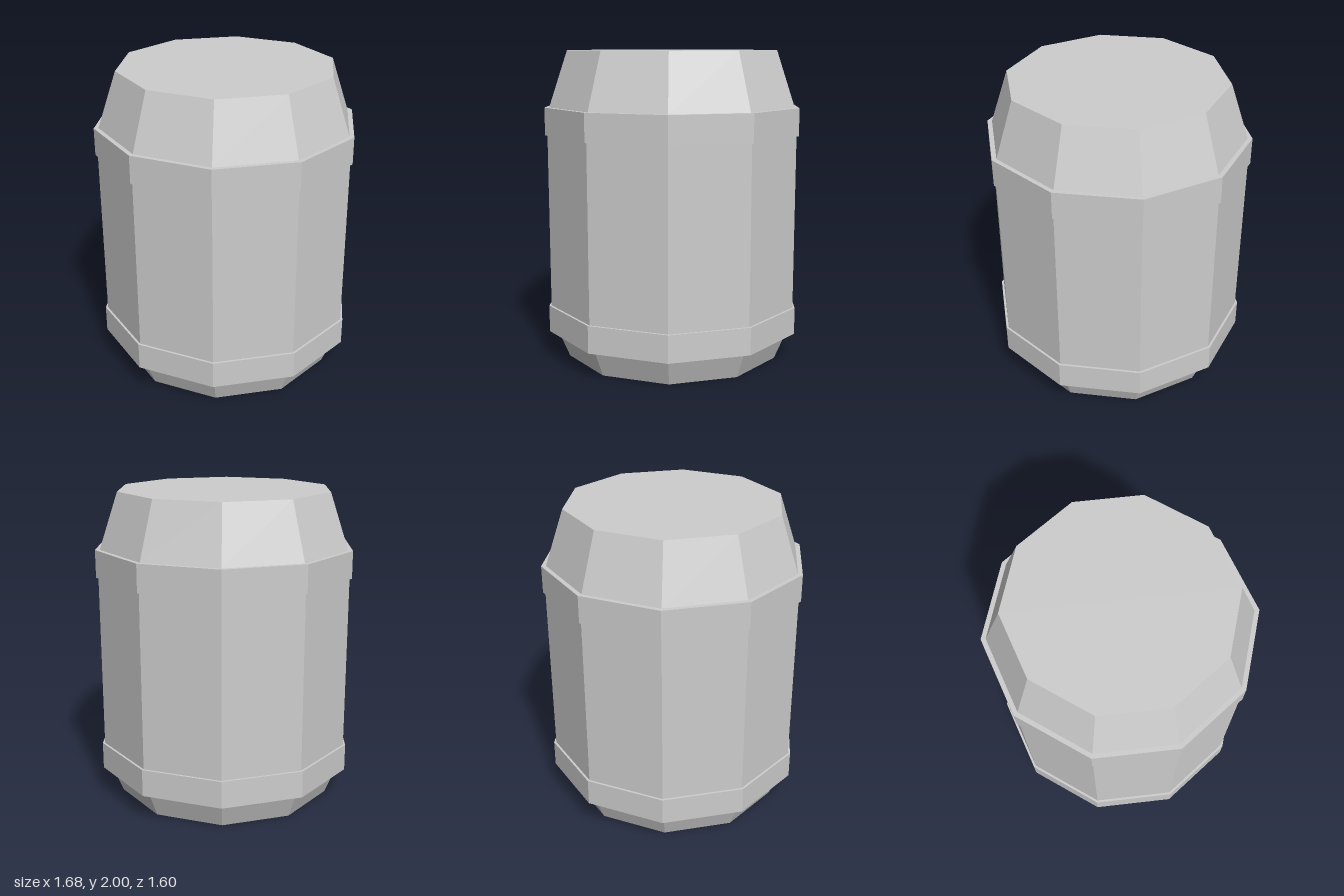
import * as THREE from 'three';

const SIDES = 10;

export function createModel() {
  const model = new THREE.Group();
  model.name = 'barrel';

  const grey = new THREE.MeshStandardMaterial({ color: 0xcccccc, flatShading: true });
  grey.name = 'light grey';

  // Ten-sided section between two heights, with a corner on the x axis
  function section(name, bottomY, topY, bottomRadius, topRadius) {
    const height = topY - bottomY;
    const geometry = new THREE.CylinderGeometry(topRadius, bottomRadius, height, SIDES, 1, false, Math.PI / 2);
    const mesh = new THREE.Mesh(geometry, grey);
    mesh.name = name;
    mesh.position.y = bottomY + height / 2;
    model.add(mesh);
  }

  // Tapered ends
  section('base', 0, 0.18, 0.71, 0.785);
  section('lid', 1.645, 2, 0.81, 0.69);

  // Straight wall
  section('body', 0.355, 1.47, 0.825, 0.825);

  // Raised hoops
  section('lowerHoop', 0.18, 0.355, 0.84, 0.84);
  section('upperHoop', 1.47, 1.645, 0.84, 0.84);

  return model;
}
